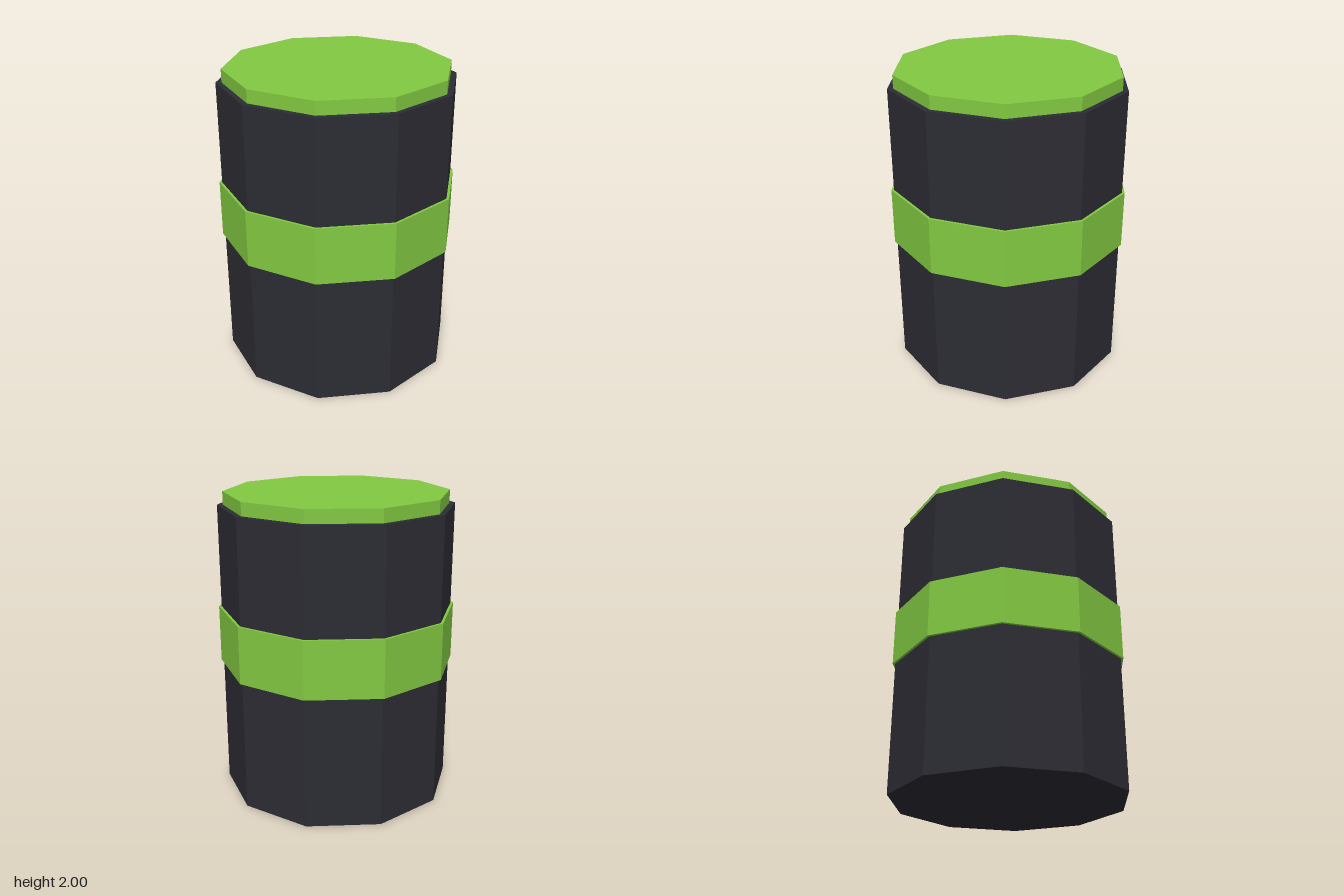
import * as THREE from 'three';

const SIDES = 10;

export function createModel() {
  const model = new THREE.Group();
  model.name = 'barrel';

  const charcoal = new THREE.MeshStandardMaterial({ color: 0x2c2c34, flatShading: true });
  charcoal.name = 'charcoal';
  const green = new THREE.MeshStandardMaterial({ color: 0x82c941, flatShading: true });
  green.name = 'bright green';

  // Ten-sided drum section between two heights, with a corner facing front
  function drum(name, radius, bottom, top, material) {
    const geometry = new THREE.CylinderGeometry(radius, radius, top - bottom, SIDES);
    const mesh = new THREE.Mesh(geometry, material);
    mesh.name = name;
    mesh.position.y = (bottom + top) / 2;
    model.add(mesh);
  }

  drum('body', 0.765, 0, 1.915, charcoal);
  drum('band', 0.782, 0.867, 1.243, green); // raised stripe around the middle
  drum('lid', 0.728, 1.915, 2, green);

  return model;
}
